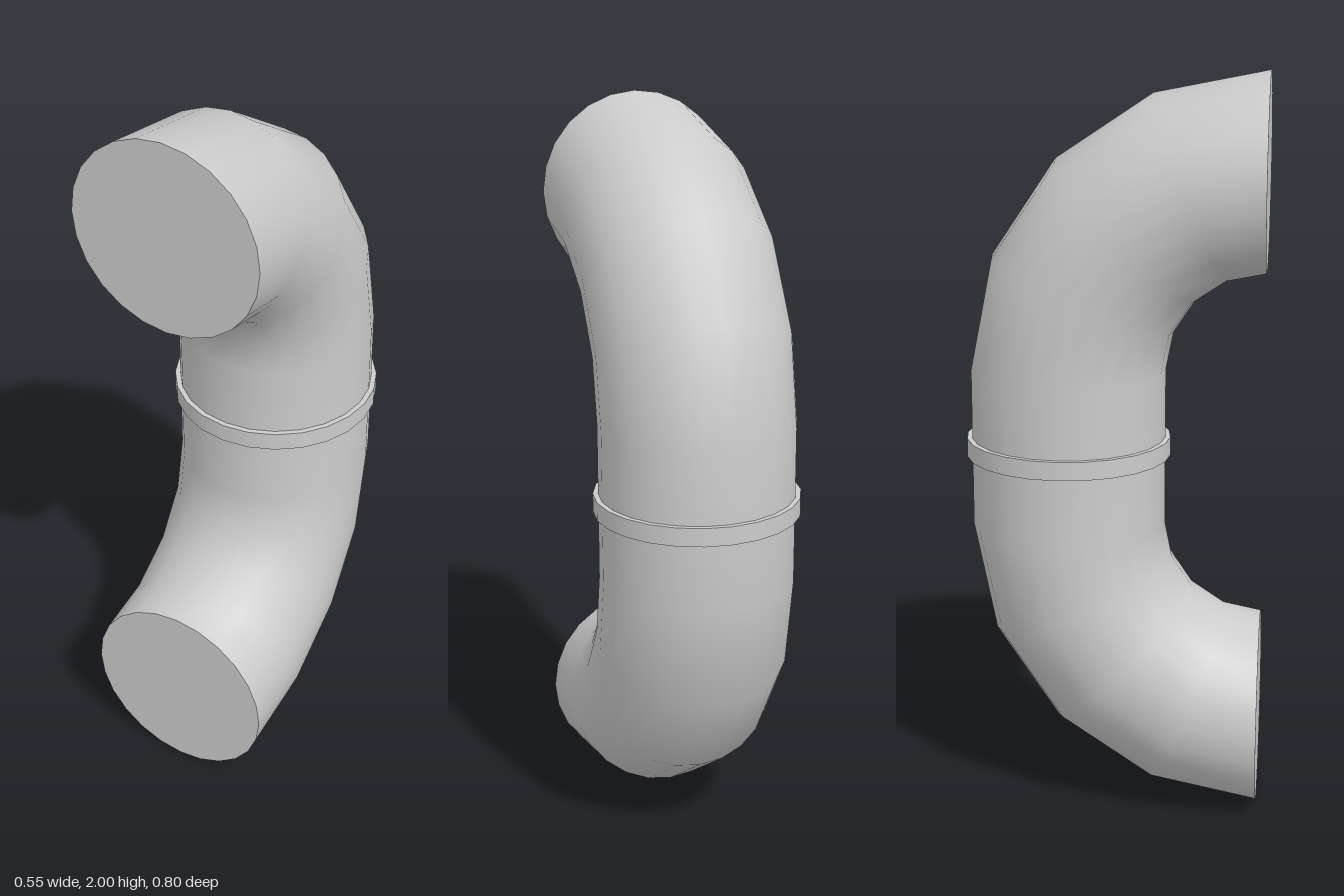
import * as THREE from 'three';

const SIDES = 24, PIPE_R = 0.261, BEND_R = 0.525, BEND_Z = 0.4, BEND_Y = 0.213;

// Pipe skin: circular cross-sections swept round two quarter bends joined by a straight
function pipeGeometry(bendSteps) {
  const sections = [];
  for (const side of [1, -1]) {
    for (let i = 0; i <= bendSteps; i++) {
      const t = (i / bendSteps) * Math.PI / 2;
      const a = side > 0 ? t : Math.PI / 2 + t;
      sections.push({ a, y: 1 + side * BEND_Y });
    }
  }
  const pos = [], index = [];
  sections.forEach(({ a, y }, i) => {
    for (let j = 0; j < SIDES; j++) {
      const u = (j / SIDES) * Math.PI * 2;
      const d = BEND_R + PIPE_R * Math.sin(u);
      pos.push(PIPE_R * Math.cos(u), y + d * Math.cos(a), BEND_Z - d * Math.sin(a));
      if (i === sections.length - 1) continue;
      const p = i * SIDES + j, q = i * SIDES + (j + 1) % SIDES;
      index.push(p, p + SIDES, q, q, p + SIDES, q + SIDES);
    }
  });
  const g = new THREE.BufferGeometry();
  g.setAttribute('position', new THREE.Float32BufferAttribute(pos, 3));
  g.setIndex(index);
  g.computeVertexNormals();
  return g;
}

export function createModel() {
  const group = new THREE.Group();
  const material = new THREE.MeshStandardMaterial({ color: 0xcccccc });
  const add = (name, geometry, y, z) => {
    const mesh = new THREE.Mesh(geometry, material);
    mesh.name = name;
    mesh.position.set(0, y, z);
    group.add(mesh);
  };

  add('pipe', pipeGeometry(4), 0, 0);

  // Flat discs closing both forward-facing ends
  const cap = new THREE.CircleGeometry(PIPE_R, SIDES);
  add('upperEndCap', cap, 1 + BEND_Y + BEND_R, BEND_Z);
  add('lowerEndCap', cap, 1 - BEND_Y - BEND_R, BEND_Z);

  // Thin collar over the joint halfway up
  add('jointCollar', new THREE.CylinderGeometry(0.275, 0.275, 0.05, SIDES), 1, BEND_Z - BEND_R);
  return group;
}
